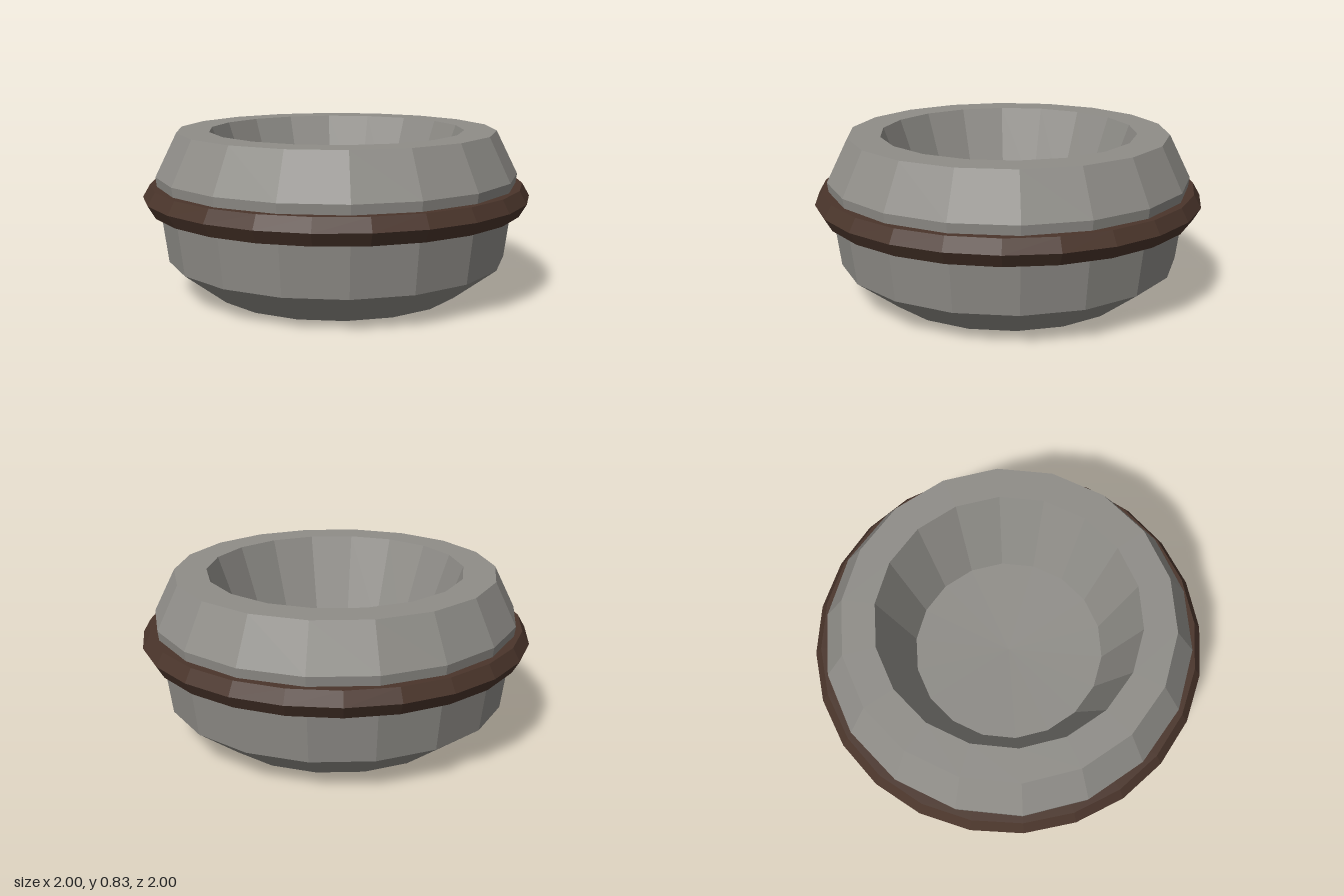
import * as THREE from 'three';

const stone = new THREE.MeshStandardMaterial({ color: 0x8f8d88 });
stone.name = 'grey stone';
const leather = new THREE.MeshStandardMaterial({ color: 0x4a352b });
leather.name = 'dark brown band';

// Gives every face its own normal for a faceted look
function faceted(geometry) {
  const flat = geometry.toNonIndexed();
  flat.computeVertexNormals();
  return flat;
}

function part(name, geometry, material) {
  const mesh = new THREE.Mesh(faceted(geometry), material);
  mesh.name = name;
  return mesh;
}

export function createModel() {
  const group = new THREE.Group();
  group.name = 'stoneBowl';

  // Bowl: one 18-sided profile from the underside, over the rim, into the hollow
  const profile = [
    [0, 0], [0.66, 0], [0.88, 0.17], [0.935, 0.61], [0.825, 0.83],
    [0.66, 0.83], [0.495, 0.38], [0, 0.36],
  ].map(([r, y]) => new THREE.Vector2(r, y));
  group.add(part('bowl', new THREE.LatheGeometry(profile, 18, Math.PI / 2), stone));

  // Band: hexagonal ring around the widest part
  const ring = new THREE.TorusGeometry(0.925, 0.075, 6, 24);
  ring.rotateX(-Math.PI / 2).translate(0, 0.497, 0);
  group.add(part('band', ring, leather));

  return group;
}
